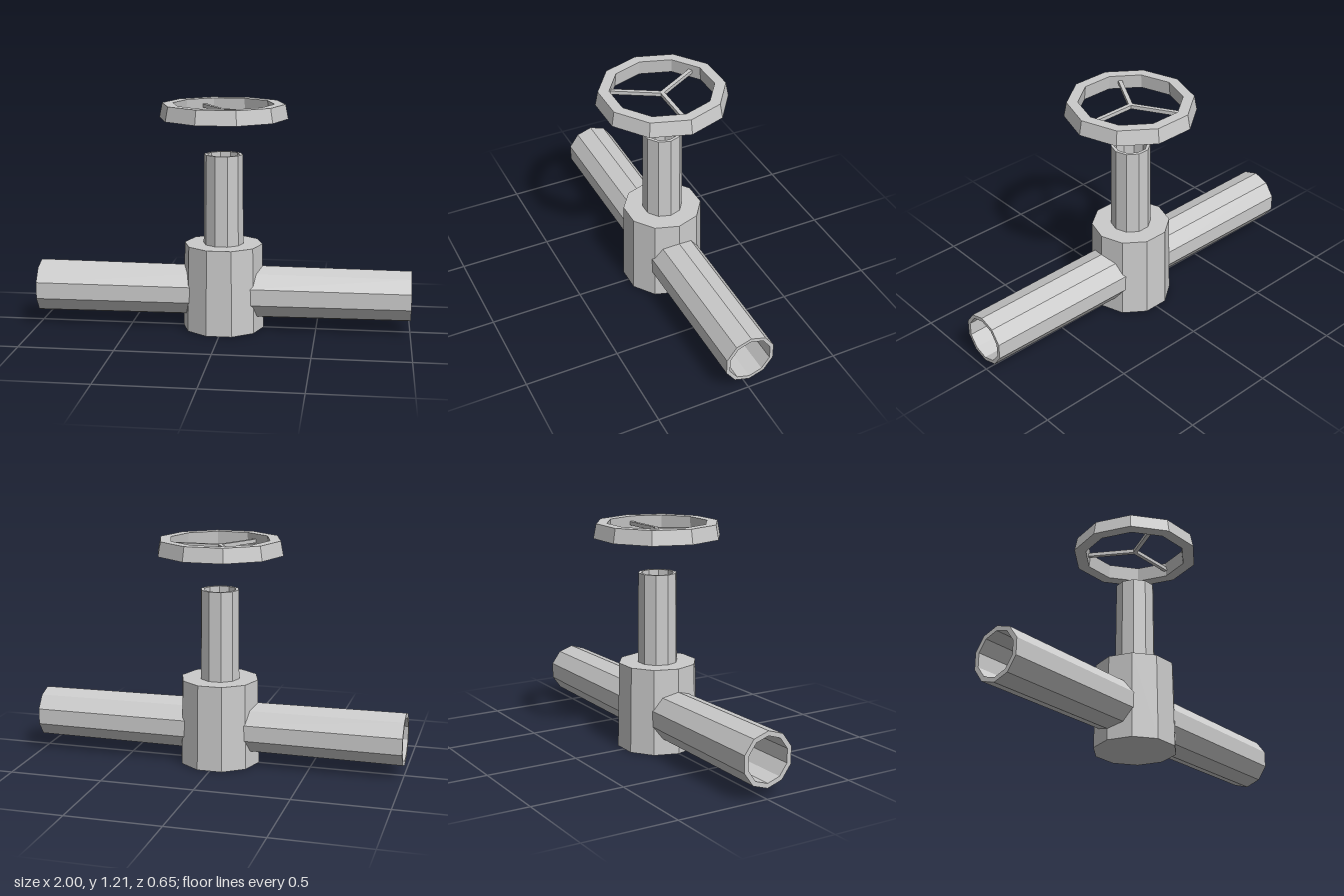
import * as THREE from 'three';

const SIDES = 10;

// Ten-sided turned solid; profile points are [radius, height], with a corner on the x axis
function turned(name, profile, material) {
  const points = profile.map(([r, h]) => new THREE.Vector2(r, h));
  const mesh = new THREE.Mesh(new THREE.LatheGeometry(points, SIDES, Math.PI / 2), material);
  mesh.name = name;
  return mesh;
}

export function createModel() {
  const model = new THREE.Group();
  model.name = 'pipeValve';
  const metal = new THREE.MeshStandardMaterial({ color: 0xcccccc, flatShading: true });
  metal.name = 'greyMetal';

  // Solid valve body, slightly narrower at the top
  model.add(turned('valveBody', [[0, 0], [0.218, 0], [0.209, 0.46], [0, 0.46]], metal));

  // Hollow stem
  model.add(turned('stem', [[0.107, 0.45], [0.103, 0.94], [0.086, 0.94], [0.088, 0.45]], metal));

  // Two identical hollow pipes, both tapering towards +x
  for (const [name, start, end] of [['rightPipe', -1, -0.12], ['leftPipe', 0.12, 1]]) {
    const pipe = turned(name, [
      [0.118, start], [0.143, start], [0.137, end], [0.117, end], [0.118, start],
    ], metal);
    pipe.geometry.rotateZ(-Math.PI / 2);
    pipe.position.y = 0.198;
    model.add(pipe);
  }

  // Hand wheel floating above the stem
  const wheel = new THREE.Group();
  wheel.name = 'handWheel';
  wheel.position.y = 1.13;
  wheel.add(turned('wheelRim', [
    [0.276, 0], [0.34, 0], [0.325, 0.077], [0.268, 0.077], [0.276, 0],
  ], metal));

  // Three spokes
  for (let i = 0; i < 3; i++) {
    const geometry = new THREE.BoxGeometry(0.27, 0.02, 0.021);
    geometry.translate(0.135, 0.038, 0);
    const spoke = new THREE.Mesh(geometry, metal);
    spoke.name = 'spoke' + (i + 1);
    spoke.rotation.y = (i * Math.PI * 2) / 3;
    wheel.add(spoke);
  }
  model.add(wheel);

  return model;
}
